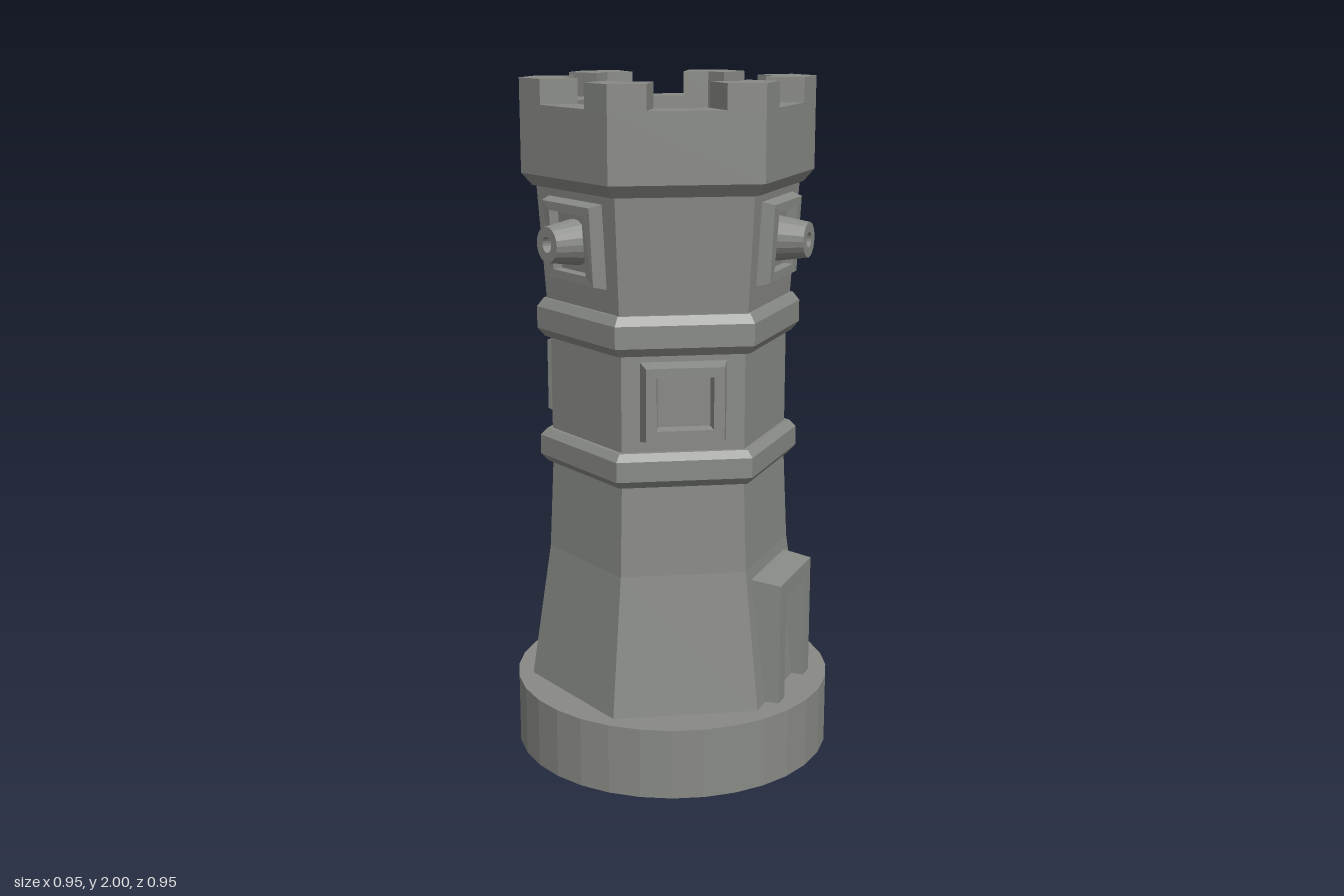
import * as THREE from 'three';

const stone = new THREE.MeshStandardMaterial({ color: 0x888a85 });
stone.name = 'stone grey';

// Faceted mesh: split the vertices so each face has its own normal
function facet(geometry, name) {
  const g = geometry.index ? geometry.toNonIndexed() : geometry;
  g.computeVertexNormals();
  const mesh = new THREE.Mesh(g, stone);
  mesh.name = name;
  return mesh;
}

// Rectangular rings [halfWidth, bottom, top, depthAtBottom, depthAtTop], joined
// from the wall outwards and back into the recess, then closed with a panel
function frameGeometry(rings) {
  const pos = [], index = [];
  rings.forEach(([w, y0, y1, d0, d1], i) => {
    pos.push(-w, y0, d0, w, y0, d0, w, y1, d1, -w, y1, d1);
    if (i === 0) return;
    for (let k = 0; k < 4; k++) {
      const n = (k + 1) % 4, a = (i - 1) * 4, b = i * 4;
      index.push(a + k, a + n, b + n, a + k, b + n, b + k);
    }
  });
  const e = (rings.length - 1) * 4;
  index.push(e, e + 1, e + 2, e, e + 2, e + 3);
  const g = new THREE.BufferGeometry();
  g.setAttribute('position', new THREE.Float32BufferAttribute(pos, 3));
  g.setIndex(index);
  return g;
}

// Turn a part built facing +z towards a wall, in degrees from +x to +z
function face(object, degrees) {
  object.rotation.y = Math.PI / 2 - THREE.MathUtils.degToRad(degrees);
  return object;
}

export function createModel() {
  const model = new THREE.Group();
  model.name = 'tower';

  // Round plinth
  const base = facet(new THREE.CylinderGeometry(0.475, 0.475, 0.21, 32), 'base');
  base.position.y = 0.105;
  model.add(base);

  const keep = new THREE.Group();
  keep.name = 'keep';
  keep.position.set(-0.005, 0, 0.01);
  model.add(keep);

  // Hexagonal body: wall distance from the axis against height
  const profile = [
    [0.365, 0.205], [0.312, 0.62], [0.301, 0.885],
    [0.314, 0.885], [0.332, 0.907], [0.332, 0.965], [0.314, 0.985], [0.301, 0.985],
    [0.301, 1.262], [0.316, 1.262], [0.335, 1.287], [0.335, 1.35], [0.318, 1.375], [0.31, 1.375],
    [0.33, 1.7], [0.34, 1.7], [0.367, 1.735], [0.367, 1.93],
    [0.262, 1.93], [0.262, 1.8], [0, 1.8],
  ].map(([d, y]) => new THREE.Vector2(d / Math.cos(Math.PI / 6), y));
  keep.add(facet(new THREE.LatheGeometry(profile, 6), 'walls'));

  // Corner merlons with radial ends
  const merlonShape = new THREE.Shape([
    [0.382, 16.25], [0.424, 30], [0.382, 43.75], [0.273, 43.75], [0.3025, 30], [0.273, 16.25],
  ].map(([r, deg]) => {
    const a = THREE.MathUtils.degToRad(deg);
    return new THREE.Vector2(r * Math.cos(a), r * Math.sin(a));
  }));
  const merlon = new THREE.ExtrudeGeometry(merlonShape, { depth: 0.07, bevelEnabled: false });
  merlon.rotateX(-Math.PI / 2);
  for (let i = 0; i < 6; i++) {
    const m = facet(merlon.clone(), 'merlon');
    m.position.y = 1.93;
    m.rotation.y = i * Math.PI / 3;
    keep.add(m);
  }

  // Doorway
  keep.add(face(facet(frameGeometry([
    [0.147, 0.205, 0.587, 0.3, 0.3],
    [0.138, 0.205, 0.573, 0.405, 0.405],
    [0.088, 0.205, 0.53, 0.405, 0.405],
    [0.088, 0.205, 0.53, 0.368, 0.327],
  ]), 'doorway'), 0));

  // Blind windows on the middle storey
  const windowFrame = frameGeometry([
    [0.122, 1.015, 1.243, 0.298, 0.298],
    [0.11, 1.025, 1.233, 0.346, 0.346],
    [0.08, 1.055, 1.205, 0.346, 0.346],
    [0.074, 1.06, 1.2, 0.315, 0.315],
  ]);
  for (const a of [60, 180, 300]) keep.add(face(facet(windowFrame.clone(), 'window'), a));

  // Gun ports on the upper storey, each with a tapered hollow barrel
  const portFrame = frameGeometry([
    [0.13, 1.44, 1.677, 0.31, 0.326],
    [0.115, 1.45, 1.667, 0.35, 0.362],
    [0.08, 1.475, 1.643, 0.35, 0.362],
    [0.078, 1.477, 1.641, 0.322, 0.333],
  ]);
  const barrelProfile = [[0.068, 0.31], [0.05, 0.423], [0.022, 0.423], [0.022, 0.37], [0, 0.37]]
    .map(([r, d]) => new THREE.Vector2(r, d));
  const barrel = new THREE.LatheGeometry(barrelProfile, 20);
  barrel.rotateX(Math.PI / 2);
  barrel.translate(0, 1.56, 0);
  for (const a of [0, 120, 240]) {
    const port = new THREE.Group();
    port.name = 'gunPort';
    port.add(facet(portFrame.clone(), 'portFrame'), facet(barrel.clone(), 'barrel'));
    keep.add(face(port, a));
  }

  return model;
}
